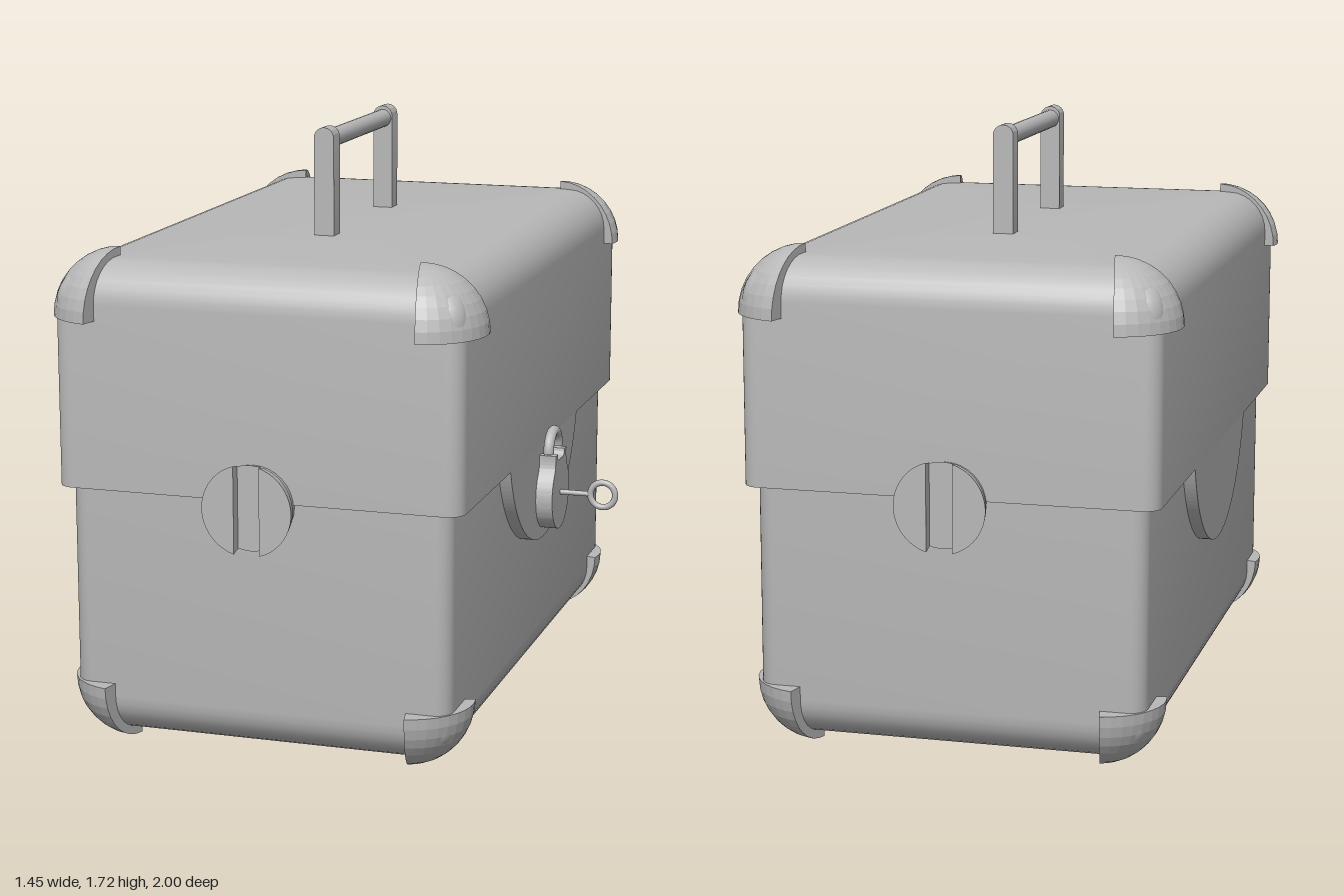
import * as THREE from 'three';
import { mergeGeometries, toCreasedNormals } from 'three/addons/utils/BufferGeometryUtils.js';

const MID = -0.097; // x of the case's centre line

// Rounded-rectangle rings stacked along y; each ring is [inset, y]. Closed at both ends.
function loft(hx, hz, r, rings) {
  const pos = [], idx = [], steps = 6, n = 4 * (steps + 1);
  const all = [[null, rings[0][1]], ...rings, [null, rings[rings.length - 1][1]]];
  for (const [inset, y] of all) {
    for (let q = 0; q < 4; q++) {
      const sx = q === 0 || q === 3 ? 1 : -1, sz = q < 2 ? -1 : 1;
      for (let s = 0; s <= steps; s++) {
        const a = (q + s / steps) * Math.PI / 2;
        if (inset === null) pos.push(0, y, 0);
        else pos.push(sx * (hx - inset - r) + r * Math.cos(a), y, sz * (hz - inset - r) - r * Math.sin(a));
      }
    }
  }
  for (let i = 0; i < all.length - 1; i++) {
    for (let j = 0; j < n; j++) {
      const a = i * n + j, b = i * n + (j + 1) % n;
      if (i > 0) idx.push(a, b, b + n);
      if (i < all.length - 2) idx.push(a, b + n, a + n);
      if (i === 0) idx.push(a, b + n, a + n);
    }
  }
  const g = new THREE.BufferGeometry();
  g.setAttribute('position', new THREE.Float32BufferAttribute(pos, 3));
  g.setIndex(idx);
  return toCreasedNormals(g, 0.6);
}

// Solid eighth of a ball, slightly turned, for the corner guards.
function cornerGeometry(r) {
  const start = 0.2, span = 1.615, pts = [new THREE.Vector2(0, 0)];
  for (let i = 0; i <= 9; i++) {
    const a = i / 9 * Math.PI / 2;
    pts.push(new THREE.Vector2(r * Math.cos(a), r * Math.sin(a)));
  }
  const parts = [new THREE.LatheGeometry(pts, 9, start, span)];
  for (const phi of [start, start + span]) {
    parts.push(new THREE.CircleGeometry(r, 9, 0, Math.PI / 2).rotateY(phi - Math.PI / 2));
  }
  return toCreasedNormals(mergeGeometries(parts), 0.1);
}

export function createModel() {
  const grey = new THREE.MeshStandardMaterial({ color: 0xb8b8b8, side: THREE.DoubleSide });
  grey.name = 'grey';
  const model = new THREE.Group();
  model.name = 'lockedCase';
  const add = (name, geometry, x = 0, y = 0, z = 0, parent = model) => {
    const mesh = new THREE.Mesh(geometry, grey);
    mesh.name = name;
    mesh.position.set(x, y, z);
    parent.add(mesh);
    return mesh;
  };
  const extrude = (shape, depth) => new THREE.ExtrudeGeometry(shape, { depth, bevelEnabled: false, curveSegments: 32 });

  // Case halves with rounded outer edges
  const R = 0.12, base = [], lid = [[0, 0.76]];
  for (let i = 0; i <= 8; i++) {
    const a = i / 8 * Math.PI / 2;
    base.push([R * (1 - Math.sin(a)), 0.03 + R * (1 - Math.cos(a))]);
    lid.push([R * (1 - Math.cos(a)), 1.405 - R + R * Math.sin(a)]);
  }
  base.push([0, 0.77]);
  add('base', loft(0.556, 0.92, 0.05, base), MID);
  add('lid', loft(0.592, 0.935, 0.05, lid), MID);

  // Curved flaps hanging from the lid on both long sides
  const flapR = 0.432, flapY = 0.897, edge = Math.asin((flapY - 0.76) / flapR);
  const flapShape = new THREE.Shape();
  flapShape.absarc(0, flapY, flapR, Math.PI + edge, 2 * Math.PI - edge, false);
  flapShape.closePath();
  for (const side of [-1, 1]) {
    add('flap', extrude(flapShape, 0.05).rotateY(Math.PI / 2), MID + side * 0.567 - 0.025);
  }

  // Corner guards
  const topCorner = cornerGeometry(0.19), bottomCorner = cornerGeometry(0.185);
  for (const sx of [-1, 1]) {
    for (const sz of [-1, 1]) {
      add('topCorner', topCorner, MID + sx * 0.437, 1.24, sz * 0.8).scale.set(sx, 1, sz);
      add('bottomCorner', bottomCorner, MID + sx * 0.405, 0.188, sz * 0.79).scale.set(sx, -1, sz);
    }
  }

  // Carrying handle: two round-topped posts and a bar
  const post = new THREE.Shape();
  post.moveTo(-0.03, 1.39);
  post.lineTo(0.03, 1.39);
  post.absarc(0, 1.69, 0.03, 0, Math.PI, false);
  post.closePath();
  for (const z of [-0.315, 0.258]) add('handlePost', toCreasedNormals(extrude(post, 0.057), 0.6), MID, 0, z);
  add('handleBar', new THREE.CylinderGeometry(0.027, 0.027, 0.54, 20).rotateX(Math.PI / 2), MID, 1.682, 0);

  // Slotted round knobs, flaring outwards, on both ends
  const half = new THREE.Shape(), slot = Math.acos(0.037 / 0.13);
  half.absarc(0, 0, 0.13, -slot, slot, false);
  half.closePath();
  for (const end of [1, -1]) {
    const knob = new THREE.Group();
    knob.name = 'knob';
    knob.position.set(MID, 0.75, 0);
    knob.rotation.y = end > 0 ? 0 : Math.PI;
    model.add(knob);
    add('knobBase', new THREE.CylinderGeometry(0.122, 0.108, 0.065, 32).rotateX(Math.PI / 2), 0, 0, 0.9325, knob);
    for (const turn of [0, Math.PI]) {
      const g = extrude(half, 0.036), p = g.attributes.position;
      for (let i = 0; i < p.count; i++) {
        if (p.getZ(i) < 0.01) p.setXY(i, 0.037 + (p.getX(i) - 0.037) * 0.92, p.getY(i) * 0.94);
      }
      add('knobGrip', toCreasedNormals(g.rotateZ(turn), 0.6), 0, 0, 0.964, knob);
    }
  }

  // Padlock: pear-shaped body and shackle
  const body = new THREE.Shape();
  body.absarc(0, 0.602, 0.108, Math.PI - 0.75, 2 * Math.PI + 0.75, false);
  body.quadraticCurveTo(0.064, 0.69, 0.066, 0.73);
  body.lineTo(0.042, 0.73);
  body.quadraticCurveTo(0.04, 0.71, 0.025, 0.71);
  body.lineTo(-0.025, 0.71);
  body.quadraticCurveTo(-0.04, 0.71, -0.042, 0.73);
  body.lineTo(-0.066, 0.73);
  body.quadraticCurveTo(-0.064, 0.69, -0.079, 0.6756);
  add('padlockBody', toCreasedNormals(extrude(body, 0.07).rotateY(Math.PI / 2), 0.6), 0.475);
  add('shackle', new THREE.TorusGeometry(0.057, 0.016, 12, 24, Math.PI).rotateY(Math.PI / 2), 0.52, 0.735, 0);

  // Key in the lock
  add('keyShaft', new THREE.CylinderGeometry(0.008, 0.008, 0.1, 12).rotateZ(Math.PI / 2), 0.585, 0.605, 0);
  add('keyRing', new THREE.TorusGeometry(0.038, 0.0095, 12, 28), 0.675, 0.605, 0);
  return model;
}
